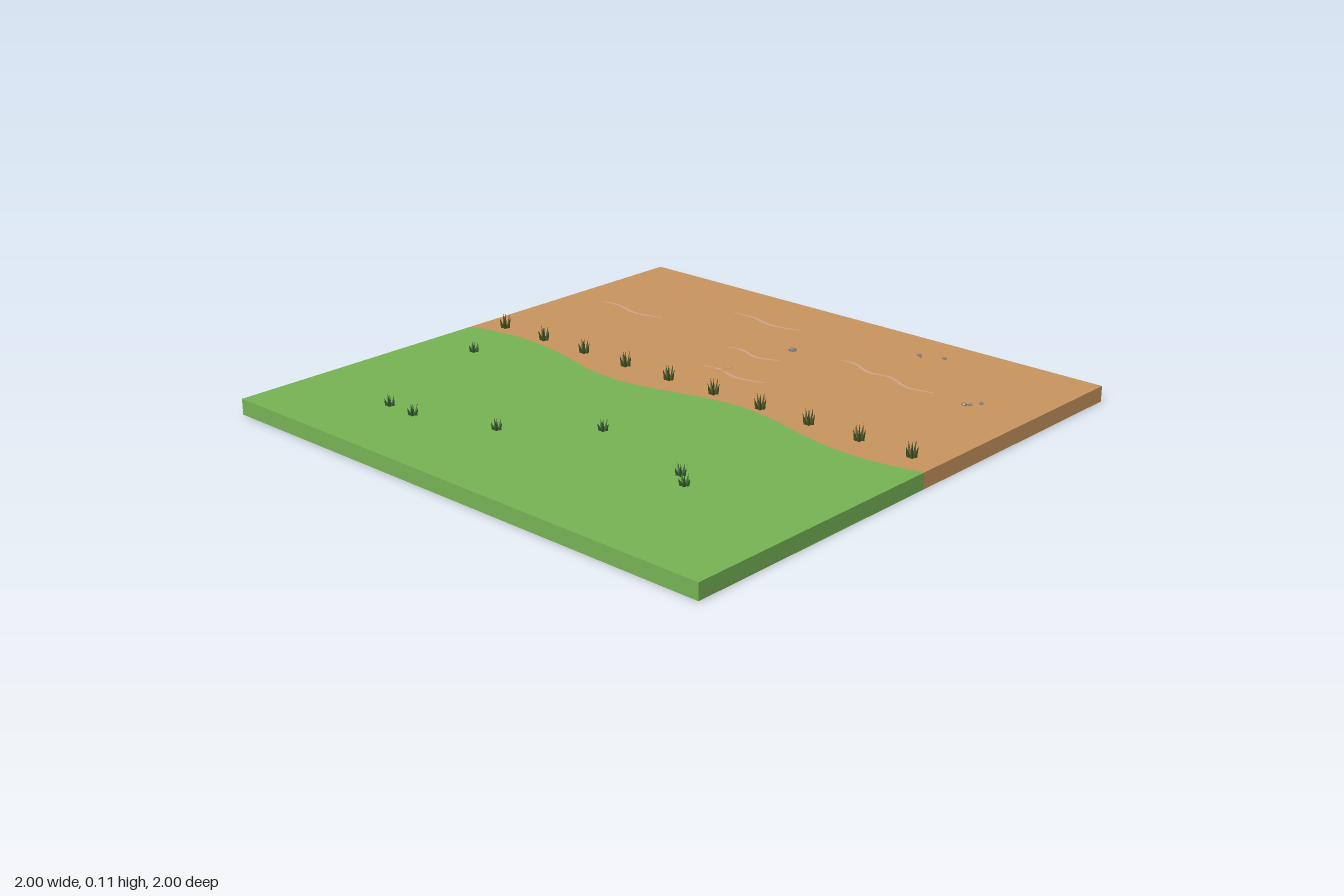
import * as THREE from 'three';
import { mergeGeometries } from 'three/addons/utils/BufferGeometryUtils.js';

const TOP = 0.055;

function material(name, color, extra = {}) {
  return Object.assign(new THREE.MeshStandardMaterial({ color, ...extra }), { name });
}

// Open-bottomed slab from a counter-clockwise outline of (x, -z) points
function slabGeometry(points, wallCount) {
  const top = new THREE.ShapeGeometry(new THREE.Shape(points)).toNonIndexed();
  top.rotateX(-Math.PI / 2).translate(0, TOP, 0);
  const pos = [];
  for (let i = 0; i < wallCount; i++) {
    const a = points[i], b = points[(i + 1) % points.length];
    pos.push(a.x, 0, -a.y, b.x, 0, -b.y, b.x, TOP, -b.y);
    pos.push(a.x, 0, -a.y, b.x, TOP, -b.y, a.x, TOP, -a.y);
  }
  const walls = new THREE.BufferGeometry();
  walls.setAttribute('position', new THREE.Float32BufferAttribute(pos, 3));
  walls.computeVertexNormals();
  top.deleteAttribute('uv');
  return mergeGeometries([top, walls]);
}

// Tuft: one upright blade ringed by leaning blades
function tuftGeometry(height, spread) {
  const blades = [];
  for (let i = 0; i < 6; i++) {
    const h = i === 0 ? height : height * (i % 2 ? 0.95 : 0.75);
    const blade = new THREE.ConeGeometry(0.007, h, 4).translate(0, h / 2, 0);
    if (i > 0) {
      blade.rotateZ(-Math.atan2(spread * 0.5, h));
      blade.translate(spread * 0.45, 0, 0);
      blade.rotateY((i / 5) * Math.PI * 2 + Math.PI / 2);
    }
    blades.push(blade);
  }
  return mergeGeometries(blades);
}

// Flat wavy ribbon lying on the sand
function rippleGeometry(length) {
  const n = 24, upper = [], lower = [];
  for (let i = 0; i <= n; i++) {
    const t = i / n;
    const x = (t - 0.5) * length;
    const y = 0.013 * Math.sin(t * Math.PI * 2.3 + 0.1);
    const w = 0.003 + 0.004 * Math.sin(t * Math.PI);
    upper.unshift(new THREE.Vector2(x, y + w));
    lower.push(new THREE.Vector2(x, y - w));
  }
  return new THREE.ShapeGeometry(new THREE.Shape([...lower, ...upper])).rotateX(-Math.PI / 2);
}

export function createModel() {
  const model = new THREE.Group();
  model.name = 'groundTile';
  const grass = material('grass green', 0x78b556, { side: THREE.DoubleSide });
  const sand = material('sand', 0xc99560, { side: THREE.DoubleSide });
  const edgeBlade = material('olive blades', 0x46501f, { flatShading: true });
  const fieldBlade = material('dark green blades', 0x2f5a28, { flatShading: true });
  const stone = material('stone grey', 0x8c8078, { flatShading: true });
  const pale = material('pale ripple', 0xd0a68a, { side: THREE.DoubleSide });

  const add = (name, geometry, mat, x = 0, y = 0, z = 0, parent = model) => {
    const mesh = new THREE.Mesh(geometry, mat);
    mesh.name = name;
    mesh.position.set(x, y, z);
    parent.add(mesh);
    return mesh;
  };
  const group = (name) => {
    const g = new THREE.Group();
    g.name = name;
    model.add(g);
    return g;
  };

  // Two ground halves meeting along a wavy border
  const border = [];
  for (let i = 0; i <= 48; i++) {
    const x = -1 + i / 24;
    const amp = Math.abs(x) > 0.5 ? 0.037 : 0.045;
    border.push(new THREE.Vector2(x, amp * Math.sin(2 * Math.PI * x)));
  }
  const v = (x, y) => new THREE.Vector2(x, y);
  const grassOutline = [v(-1, -1), v(1, -1), ...border.slice().reverse()];
  add('grassGround', slabGeometry(grassOutline, grassOutline.length), grass);
  const sandOutline = [border[48], v(1, 1), v(-1, 1), ...border.slice(0, 48)];
  add('sandGround', slabGeometry(sandOutline, 3), sand);

  // Row of taller tufts along the border
  const row = group('borderTufts');
  const tall = tuftGeometry(0.058, 0.022);
  for (let i = 0; i < 10; i++) {
    add('borderTuft', tall, edgeBlade, -0.9 + i * 0.2, TOP - 0.004, -0.075, row);
  }

  // Short tufts scattered over the grass
  const field = group('fieldTufts');
  const short = tuftGeometry(0.04, 0.02);
  const spots = [[-0.79, 0.175], [0.06, 0.4], [0.48, 0.5], [0.54, 0.55], [-0.19, 0.62],
    [-0.6, 0.71], [-0.48, 0.715]];
  for (const [x, z] of spots) add('fieldTuft', short, fieldBlade, x, TOP - 0.004, z, field);

  // Wind ripples: centre x, centre z, length
  const ripples = group('sandRipples');
  const marks = [[-0.245, -0.75, 0.31], [-0.705, -0.52, 0.29], [-0.055, -0.45, 0.22],
    [0.025, -0.25, 0.27], [0.325, -0.595, 0.23], [0.505, -0.565, 0.25]];
  for (const [x, z, length] of marks) {
    const mesh = add('sandRipple', rippleGeometry(length), pale, x, TOP + 0.002, z, ripples);
    if (x > 0.2) mesh.rotation.y = -0.12;
  }

  // Pebbles: x, z, radius
  const pebbles = group('pebbles');
  const pebble = new THREE.DodecahedronGeometry(1);
  const stones = [[0.02, -0.58, 0.016], [0.375, -0.835, 0.009], [0.39, -0.825, 0.007],
    [0.46, -0.865, 0.009], [0.765, -0.545, 0.01], [0.78, -0.555, 0.009], [0.8, -0.59, 0.009]];
  stones.forEach(([x, z, r], i) => {
    const mesh = add('pebble', pebble, stone, x, TOP + 0.002, z, pebbles);
    mesh.scale.set(r, r * 0.6, r);
    mesh.rotation.y = i * 1.3;
  });

  // Low sand lumps
  const lumps = group('sandLumps');
  for (const [x, z] of [[-0.07, -0.27], [-0.03, -0.3], [-0.02, -0.26]]) {
    add('sandLump', pebble, sand, x, TOP, z, lumps).scale.set(0.018, 0.005, 0.012);
  }
  return model;
}
